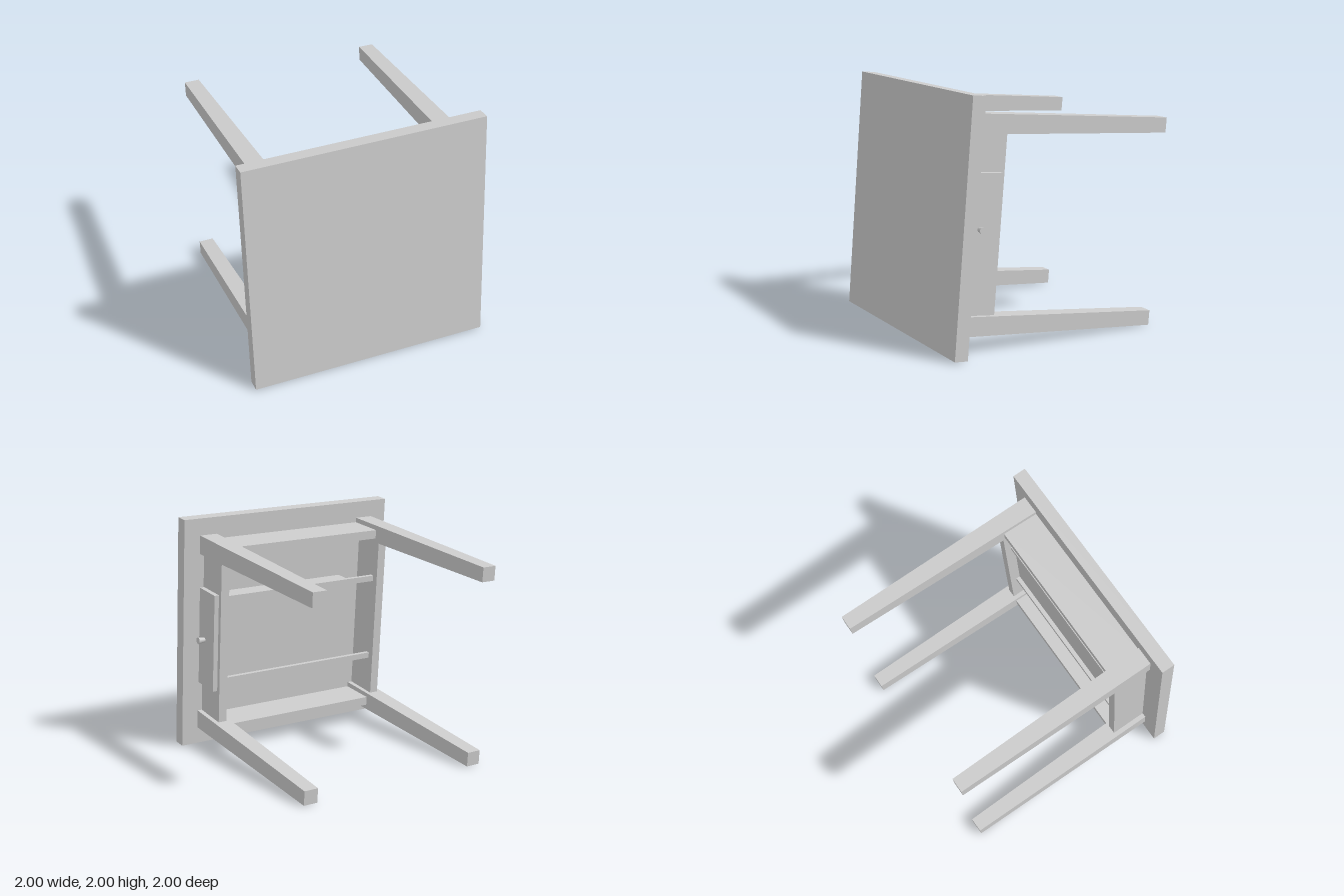
import * as THREE from 'three';

const material = new THREE.MeshStandardMaterial({ color: 0xcccccc, flatShading: true });

// Box given by its limits on each axis
function block(name, [x0, x1], [y0, y1], [z0, z1]) {
  const mesh = new THREE.Mesh(new THREE.BoxGeometry(x1 - x0, y1 - y0, z1 - z0), material);
  mesh.position.set((x0 + x1) / 2, (y0 + y1) / 2, (z0 + z1) / 2);
  mesh.name = name;
  return mesh;
}

// Leg with upright outer faces and inner faces that taper to the foot
function leg(sx, sz) {
  const outer = 0.855, top = -0.11, foot = -1.855;
  const geometry = new THREE.BoxGeometry(1, 1, 1);
  const p = geometry.attributes.position;
  for (let i = 0; i < p.count; i++) {
    const high = p.getY(i) > 0;
    const inner = high ? 0.698 : 0.733;
    p.setXYZ(i,
      sx * (p.getX(i) * sx > 0 ? outer : inner),
      high ? top : foot,
      sz * (p.getZ(i) * sz > 0 ? outer : inner));
  }
  geometry.computeVertexNormals();
  const mesh = new THREE.Mesh(geometry, material);
  mesh.name = 'leg';
  return mesh;
}

export function createModel() {
  // The table is built upright, with its top surface at y = 0
  const table = new THREE.Group();
  table.name = 'table';
  table.add(block('tabletop', [-1, 1], [-0.11, 0], [-1, 1]));

  for (const sx of [-1, 1]) for (const sz of [-1, 1]) table.add(leg(sx, sz));

  // Aprons between the legs
  const high = [-0.415, -0.11];
  const across = (s) => (s > 0 ? [0.74, 0.815] : [-0.815, -0.74]);
  for (const s of [-1, 1]) {
    table.add(block('endApron', [-0.71, 0.71], high, across(s)));
    table.add(block('sideApron', across(s), high, [-0.71, 0.71]));
  }

  // Runners that carry the drawer
  for (const s of [-1, 1]) {
    const z = s * 0.36;
    table.add(block('drawerRunner', [-0.75, 0.75], [-0.36, -0.325], [z - 0.025, z + 0.025]));
  }

  // Drawer: open box, front panel and knob
  const drawer = new THREE.Group();
  drawer.name = 'drawer';
  const depth = [-0.52, 0.81], wall = [-0.325, -0.14];
  drawer.add(block('drawerBottom', depth, [-0.325, -0.305], [-0.36, 0.36]));
  drawer.add(block('drawerSide', depth, wall, [-0.36, -0.33]));
  drawer.add(block('drawerSide', depth, wall, [0.33, 0.36]));
  drawer.add(block('drawerBack', [-0.52, -0.49], wall, [-0.33, 0.33]));
  drawer.add(block('drawerFront', [0.81, 0.856], [-0.378, -0.122], [-0.41, 0.433]));

  const knob = new THREE.Mesh(
    new THREE.CylinderGeometry(0.03, 0.02, 0.06, 20),
    new THREE.MeshStandardMaterial({ color: 0xcccccc }));
  knob.name = 'knob';
  knob.rotation.z = -Math.PI / 2;
  knob.position.set(0.885, -0.213, 0.022);
  drawer.add(knob);
  table.add(drawer);

  // Tip the table over so that its top faces forward
  table.rotation.x = THREE.MathUtils.degToRad(85.24);
  table.position.set(0, 1.005, 0.9175);

  const model = new THREE.Group();
  model.name = 'tippedTable';
  model.add(table);
  return model;
}
